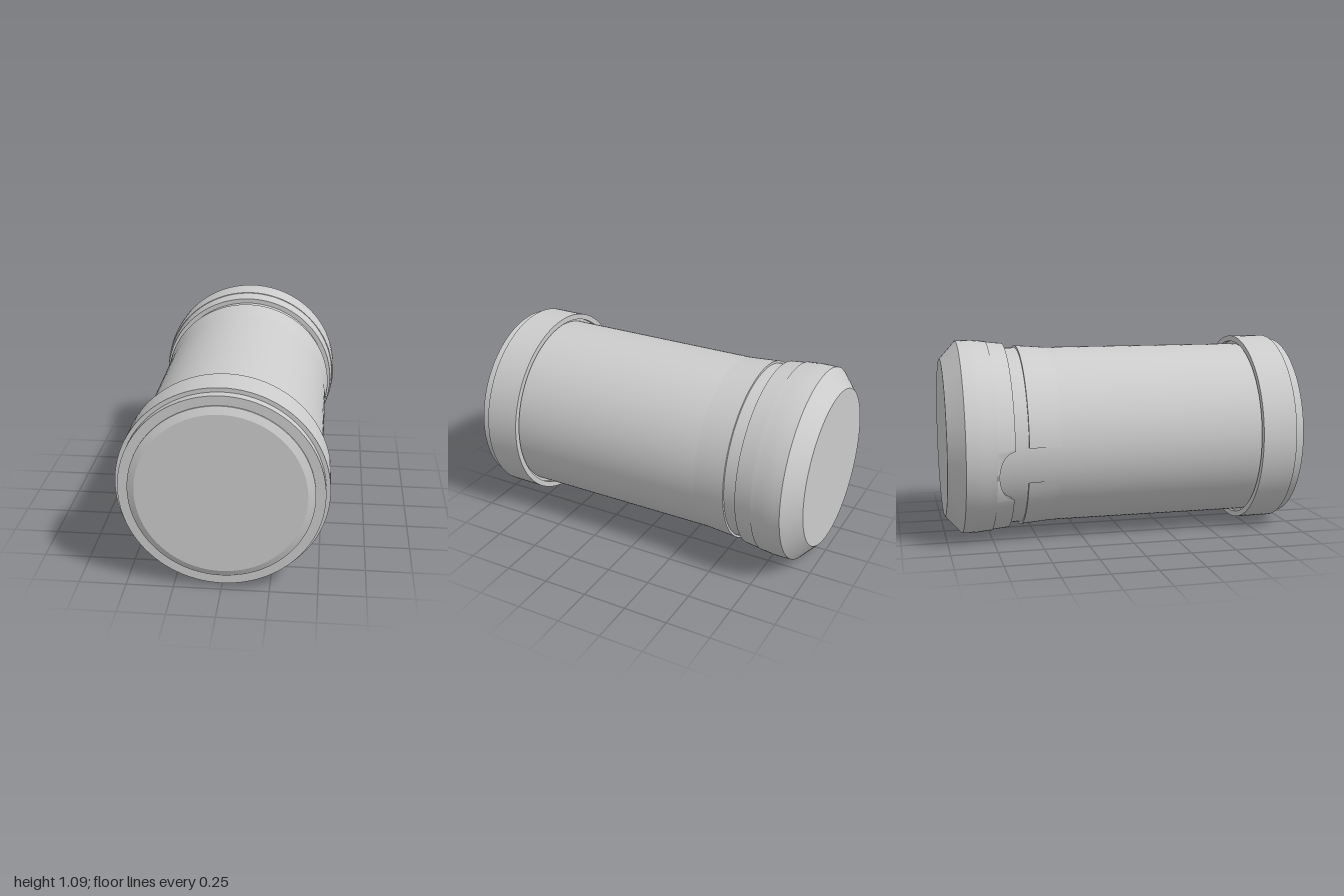
import * as THREE from 'three';
import { toCreasedNormals } from 'three/addons/utils/BufferGeometryUtils.js';

const AXIS_Y = 0.548;

export function createModel() {
  const group = new THREE.Group();
  const grey = new THREE.MeshStandardMaterial({ color: 0xcccccc, side: THREE.DoubleSide });
  grey.name = 'light grey';

  // Turns a [radius, z] profile, listed from back to front, about the long axis
  function turned(name, profile, { segments = 96, start = 0, length = Math.PI * 2, deform } = {}) {
    const points = profile.map(([r, z]) => new THREE.Vector2(r, z));
    let geometry = new THREE.LatheGeometry(points, segments, start, length);
    geometry.rotateX(Math.PI / 2);
    if (deform) deform(geometry.attributes.position);
    geometry = toCreasedNormals(geometry, 0.4);
    const mesh = new THREE.Mesh(geometry, grey);
    mesh.name = name;
    mesh.position.y = AXIS_Y;
    group.add(mesh);
  }

  // Straight tube and the slightly flared sleeve, slotted on the right side
  turned('body', [[0.5, -0.76], [0.5, 0.76]]);
  turned('flaredSleeve',
    [[0.498, -0.575], [0.513, -0.575], [0.507, -0.49], [0.503, -0.44], [0.4995, -0.39]],
    { start: Math.PI * 1.5 + 0.36, length: Math.PI * 2 - 0.38 });

  // Front collar with a recessed rear opening, and the bevelled end plug
  turned('frontCollar', [
    [0.498, 0.75], [0.515, 0.75], [0.515, 0.73], [0.547, 0.73],
    [0.547, 0.925], [0.525, 0.925], [0.525, 0.975], [0.47, 0.975],
  ]);
  turned('frontPlug', [[0.475, 0.97], [0.475, 0.982], [0.437, 1], [0, 1]]);

  // Rear cap: flat end, wide chamfer, rounded rim
  turned('rearCap', [
    [0, -1], [0.445, -1], [0.545, -0.91], [0.547, -0.87],
    [0.547, -0.82], [0.543, -0.78], [0.541, -0.745], [0.498, -0.745],
  ]);

  // Cap lip with a rounded notch cut in from its front edge on the right side
  turned('capLip', [[0.537, -0.745], [0.527, -0.65], [0.498, -0.65]], {
    segments: 240,
    deform(position) {
      for (let i = 0; i < position.count; i++) {
        const d = (position.getY(i) + 0.138) / 0.135;
        if (position.getX(i) < 0 && position.getZ(i) > -0.7 && Math.abs(d) < 1) {
          position.setZ(i, -0.65 - 0.083 * Math.sqrt(1 - d * d));
        }
      }
    },
  });

  return group;
}
